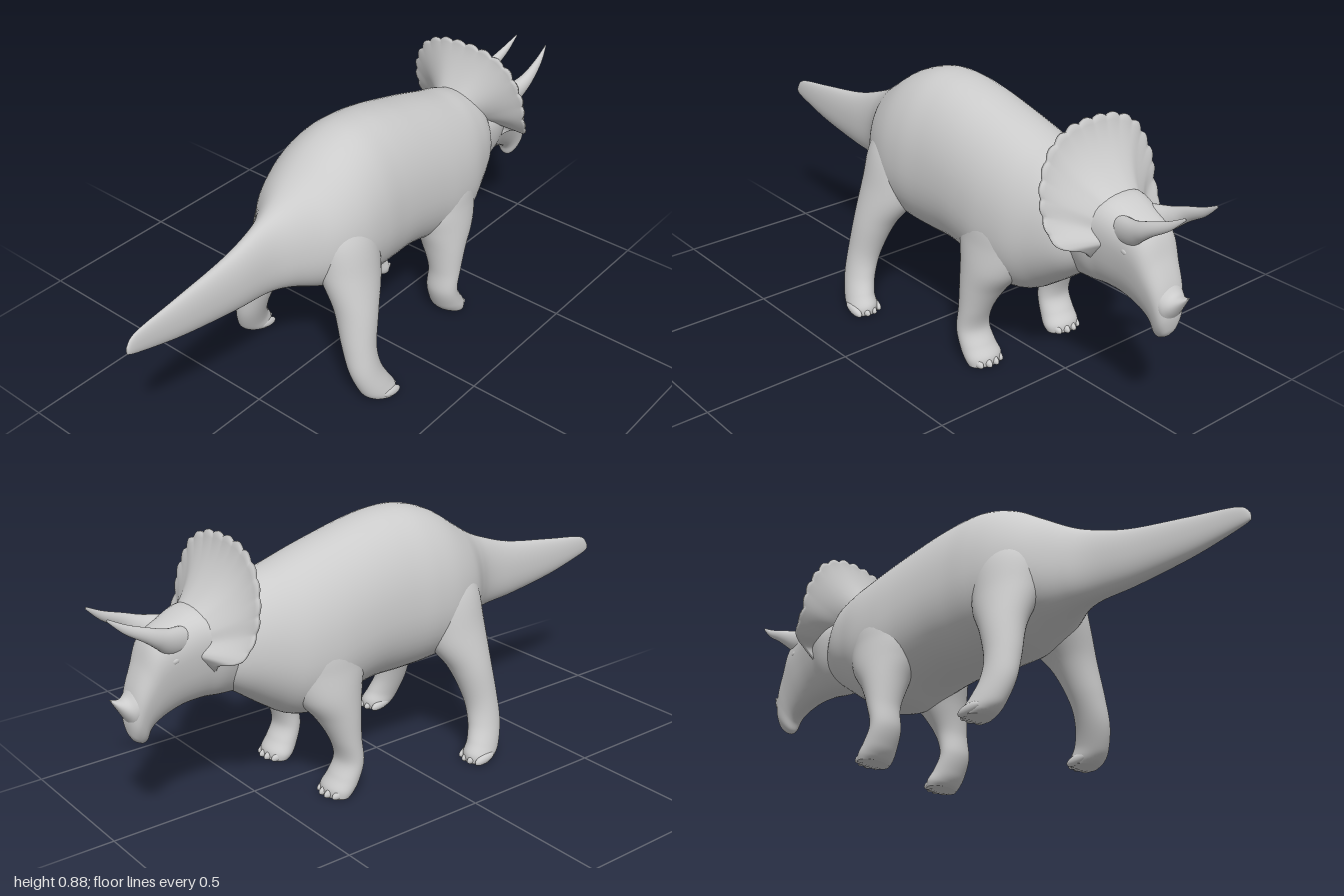
import * as THREE from 'three';

const material = new THREE.MeshStandardMaterial({ color: 0xcccccc, side: THREE.DoubleSide });

// Geometry from a grid of vertices; wrap joins the last column to the first
function gridGeometry(points, rows, cols, wrap) {
  const index = [];
  for (let r = 0; r < rows - 1; r++) {
    for (let c = 0; c < (wrap ? cols : cols - 1); c++) {
      const a = r * cols + c, b = r * cols + (c + 1) % cols;
      index.push(a, b, b + cols, a, b + cols, a + cols);
    }
  }
  return { position: points, index };
}

function finish(name, { position, index }) {
  // Turn the faces outward if the enclosed volume comes out negative
  const p = (i) => new THREE.Vector3().fromArray(position, i * 3);
  let volume = 0;
  for (let i = 0; i < index.length; i += 3) {
    volume += p(index[i]).dot(p(index[i + 1]).cross(p(index[i + 2])));
  }
  if (volume < 0) index.reverse();
  const g = new THREE.BufferGeometry();
  g.setAttribute('position', new THREE.Float32BufferAttribute(position, 3));
  g.setIndex(index);
  g.computeVertexNormals();
  const mesh = new THREE.Mesh(g, material);
  mesh.name = name;
  return mesh;
}

// Smooth loft. Each section: [x1, y1, x2, y2, half width, centre z], where
// the two points are opposite ends of the cross-section in the side plane.
// Taper narrows the second end and widens the first.
function loft(name, sections, { power = 2, cols = 40, taper = 0 } = {}) {
  const steps = 8;
  const catmull = (a, b, c, d, t) => 0.5 * (2 * b + (c - a) * t
    + (2 * a - 5 * b + 4 * c - d) * t * t + (3 * b - a - 3 * c + d) * t * t * t);
  const last = sections.length - 1;
  const at = (i) => sections[Math.max(0, Math.min(last, i))];
  const round = (v) => Math.sign(v) * Math.abs(v) ** (2 / power);
  const points = [];
  const rows = last * steps + 1;
  let s;
  for (let r = 0; r < rows; r++) {
    const i = Math.min(Math.floor(r / steps), last - 1), t = r / steps - i;
    s = [0, 1, 2, 3, 4, 5].map((k) =>
      catmull(at(i - 1)[k] || 0, at(i)[k] || 0, at(i + 1)[k] || 0, at(i + 2)[k] || 0, t));
    for (let c = 0; c < cols; c++) {
      const a = (c / cols) * Math.PI * 2, u = round(Math.cos(a)) / 2;
      points.push((s[0] + s[2]) / 2 + (s[0] - s[2]) * u, (s[1] + s[3]) / 2 + (s[1] - s[3]) * u,
        s[5] + s[4] * round(Math.sin(a)) * (1 + 2 * taper * u));
    }
  }
  const grid = gridGeometry(points, rows, cols, true);
  // End caps
  const f = sections[0], n = rows * cols;
  points.push((f[0] + f[2]) / 2, (f[1] + f[3]) / 2, f[5] || 0,
    (s[0] + s[2]) / 2, (s[1] + s[3]) / 2, s[5]);
  for (let c = 0; c < cols; c++) {
    const d = (c + 1) % cols, e = n - cols;
    grid.index.push(n, d, c, n + 1, e + c, e + d);
  }
  return finish(name, grid);
}

// Dished neck shield with a scalloped rim, thin at the edge
function makeFrill() {
  const half = [[0.575, 0.858, 0.095], [0.583, 0.822, 0.163], [0.59, 0.773, 0.198], [0.605, 0.7, 0.223],
    [0.62, 0.63, 0.222], [0.66, 0.56, 0.212], [0.69, 0.53, 0.135], [0.67, 0.48, 0.08], [0.62, 0.43, 0.04]];
  const rim = [...half.map(([x, y, z]) => [x, y, -z]).reverse(), [0.573, 0.868, 0], ...half];
  const curve = new THREE.CatmullRomCurve3(rim.map((p) => new THREE.Vector3(...p)));
  const cols = 241, side = 20, rows = side * 2 + 2, cy = 0.57;
  const edges = curve.getSpacedPoints(cols - 1);
  const points = [];
  for (let r = 0; r < rows; r++) {
    const front = r <= side;
    const t = front ? r / side : (rows - 1 - r) / side;
    const bez = (a, b, d) => a * (1 - t) ** 2 + 2 * b * t * (1 - t) + d * t * t;
    edges.forEach((e, c) => {
      const v = c / (cols - 1);
      const scallop = v > 0.2 && v < 0.8 ? Math.abs(Math.sin((v - 0.2) / 0.6 * Math.PI * 16)) : 0;
      const swell = 1 + 0.035 * scallop * t ** 14;
      const height = THREE.MathUtils.clamp((e.y - 0.6) / 0.27, 0, 1);
      const scale = (front ? bez(0.2, 0.5, 1) : bez(0.45, 0.72, 1)) * swell;
      const x = front ? bez(0.79, e.x + 0.045, e.x + 0.004)
        : bez(e.x - 0.02 - 0.06 * height, e.x - 0.012 - 0.015 * height, e.x - 0.004);
      points.push(x, cy + (e.y - cy) * scale, e.z * scale);
    });
  }
  return finish('frill', gridGeometry(points, rows, cols, false));
}

function ellipsoid(name, x, y, z, rx, ry, rz, tilt) {
  const mesh = new THREE.Mesh(new THREE.SphereGeometry(1, 20, 14), material);
  mesh.name = name;
  mesh.position.set(x, y, z);
  mesh.scale.set(rx, ry, rz);
  mesh.rotation.z = tilt;
  return mesh;
}

function makeLeg(name, sections, side, toeX, toeZ) {
  const leg = new THREE.Group();
  leg.name = name;
  leg.add(loft('limb', sections.map((s) => [...s.slice(0, 5), s[5] * side])));
  for (let i = 0; i < 4; i++) {
    const k = i - 1.5;
    leg.add(ellipsoid('toe', toeX - Math.abs(k) * 0.012, 0.021, side * (toeZ + k * 0.027), 0.042, 0.017, 0.014, -0.24));
  }
  return leg;
}

export function createModel() {
  const model = new THREE.Group();
  model.name = 'hornedDinosaur';

  // Tail, trunk and neck in one skin
  model.add(loft('body', [
    [-1, 0.54, -1, 0.515, 0.005], [-0.96, 0.572, -0.96, 0.5, 0.012], [-0.8, 0.595, -0.8, 0.46, 0.026],
    [-0.6, 0.625, -0.6, 0.43, 0.042], [-0.47, 0.665, -0.47, 0.42, 0.058], [-0.39, 0.7, -0.39, 0.405, 0.097],
    [-0.3, 0.755, -0.3, 0.37, 0.167], [-0.2, 0.818, -0.2, 0.325, 0.204], [-0.1, 0.851, -0.1, 0.31, 0.212],
    [0, 0.853, 0, 0.305, 0.207], [0.1, 0.837, 0.1, 0.305, 0.205], [0.2, 0.812, 0.2, 0.285, 0.206],
    [0.3, 0.785, 0.3, 0.25, 0.207], [0.4, 0.755, 0.4, 0.262, 0.197], [0.48, 0.735, 0.48, 0.31, 0.172],
    [0.56, 0.7, 0.56, 0.368, 0.14], [0.62, 0.63, 0.62, 0.41, 0.095], [0.68, 0.58, 0.68, 0.44, 0.05],
  ], { power: 2.15, cols: 56, taper: -0.1 }));

  // Skull, turning down into the beak
  model.add(loft('head', [
    [0.54, 0.64, 0.56, 0.38, 0.1], [0.64, 0.67, 0.64, 0.386, 0.115], [0.71, 0.685, 0.69, 0.39, 0.105],
    [0.78, 0.66, 0.75, 0.385, 0.09], [0.85, 0.62, 0.8, 0.37, 0.079], [0.885, 0.54, 0.84, 0.35, 0.066],
    [0.915, 0.465, 0.86, 0.33, 0.056], [0.93, 0.39, 0.87, 0.303, 0.044], [0.925, 0.335, 0.882, 0.293, 0.026],
    [0.912, 0.308, 0.895, 0.296, 0.008],
  ], { power: 2.4, taper: 0.25 }));
  model.add(makeFrill());
  model.add(loft('noseHorn', [
    [0.86, 0.52, 0.88, 0.36, 0.05], [0.9, 0.485, 0.915, 0.355, 0.052], [0.928, 0.452, 0.933, 0.38, 0.041],
    [0.953, 0.449, 0.953, 0.413, 0.021], [0.978, 0.457, 0.976, 0.452, 0.003],
  ]));

  for (const side of [1, -1]) {
    const prefix = side > 0 ? 'near' : 'far';
    // Curved brow horn
    model.add(loft(prefix + 'BrowHorn', [
      [0.7, 0.64, 0.74, 0.55, 0.03, 0.05 * side], [0.77, 0.652, 0.815, 0.575, 0.032, 0.063 * side],
      [0.82, 0.66, 0.86, 0.61, 0.025, 0.074 * side],
      [0.87, 0.676, 0.895, 0.638, 0.018, 0.078 * side], [0.94, 0.7, 0.952, 0.675, 0.011, 0.072 * side],
      [0.995, 0.727, 0.998, 0.72, 0.002, 0.064 * side],
    ], { cols: 24 }));
    model.add(ellipsoid(prefix + 'Eye', 0.8, 0.56, 0.079 * side, 0.018, 0.012, 0.012, -0.4));

    model.add(makeLeg(prefix + 'HindLeg', [
      [-0.25, 0.69, -0.13, 0.68, 0.05, 0.09], [-0.31, 0.58, -0.09, 0.56, 0.085, 0.12],
      [-0.322, 0.46, -0.1, 0.42, 0.095, 0.142],
      [-0.315, 0.33, -0.165, 0.31, 0.072, 0.194], [-0.322, 0.21, -0.205, 0.2, 0.057, 0.226],
      [-0.322, 0.12, -0.205, 0.125, 0.05, 0.25], [-0.3, 0.045, -0.185, 0.07, 0.048, 0.27],
      [-0.275, 0.014, -0.165, 0.035, 0.05, 0.277], [-0.25, 0.003, -0.165, 0.005, 0.046, 0.279],
    ], side, -0.19, 0.278));
    model.add(makeLeg(prefix + 'FrontLeg', [
      [0.24, 0.62, 0.4, 0.62, 0.06, 0.09], [0.18, 0.51, 0.45, 0.51, 0.09, 0.11],
      [0.165, 0.43, 0.445, 0.42, 0.095, 0.12], [0.185, 0.355, 0.415, 0.34, 0.093, 0.134],
      [0.205, 0.28, 0.355, 0.265, 0.078, 0.154], [0.215, 0.19, 0.315, 0.19, 0.06, 0.173],
      [0.21, 0.11, 0.295, 0.12, 0.059, 0.175], [0.23, 0.045, 0.318, 0.07, 0.062, 0.173],
      [0.25, 0.014, 0.342, 0.035, 0.065, 0.17], [0.265, 0.003, 0.345, 0.005, 0.06, 0.17],
    ], side, 0.323, 0.17));
  }
  return model;
}
